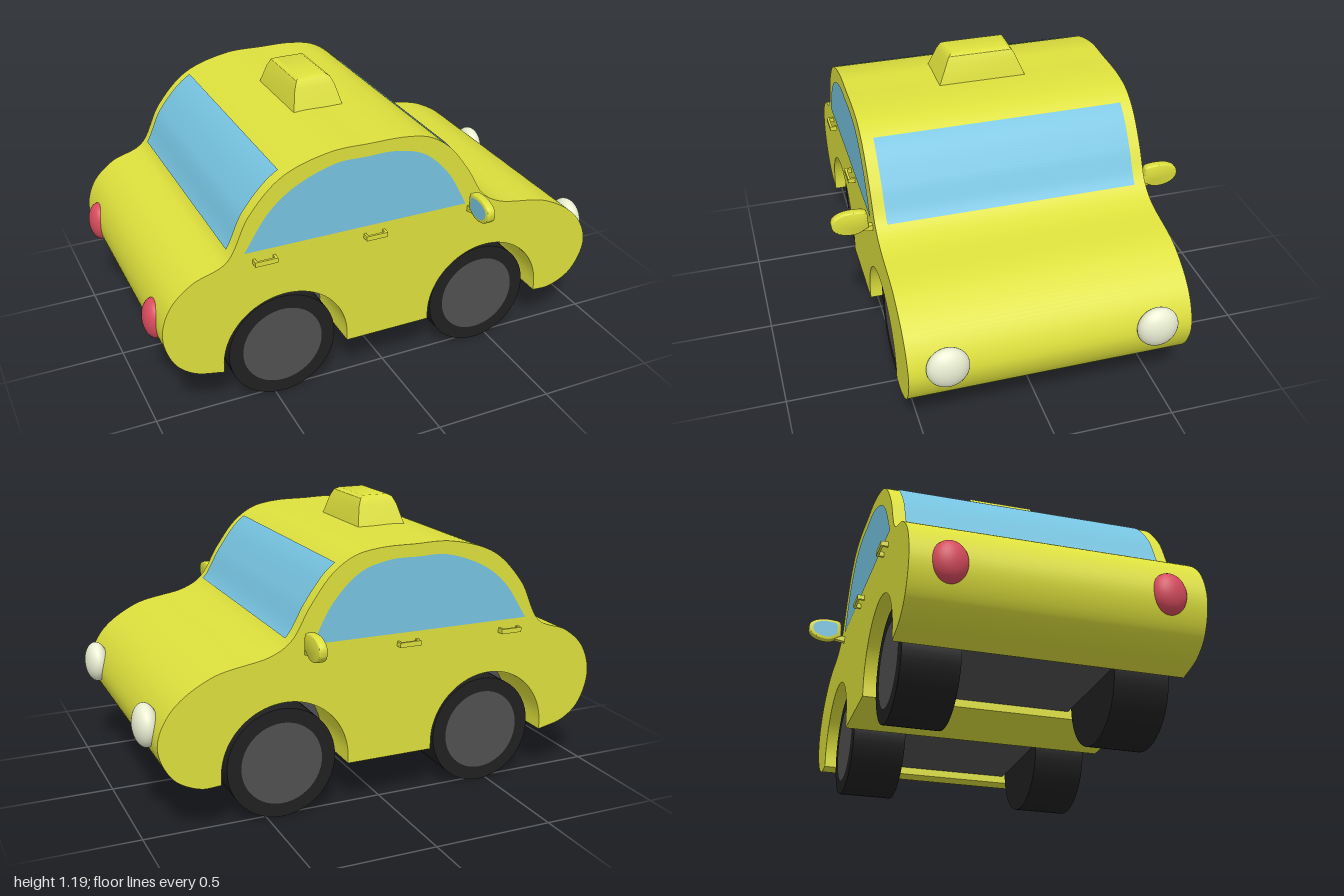
import * as THREE from 'three';
import { toCreasedNormals } from 'three/addons/utils/BufferGeometryUtils.js';

const mat = (color) => new THREE.MeshStandardMaterial({ color });
const paint = mat(0xdde03c);
const glass = mat(0x76c3e0);
glass.side = THREE.DoubleSide;
const rubber = mat(0x202020);
const darkGrey = mat(0x505050);
const lampWhite = mat(0xeaeed2);
const lampRed = mat(0xd84c5e);

const HALF = 0.57; // half width of the body
const AXLE_Y = 0.233;
const AXLES = [-0.465, 0.437];
const ARCH_R = 0.265;

function smooth(points, n) {
  const curve = new THREE.CatmullRomCurve3(points.map(([x, y]) => new THREE.Vector3(x, y, 0)));
  return curve.getPoints(n).map((p) => new THREE.Vector2(p.x, p.y));
}

// Outline from the rear bumper over the roof to the front bumper
const outline = smooth([
  [-0.73, 0.203], [-0.85, 0.235], [-0.925, 0.3], [-0.965, 0.43], [-0.93, 0.55], [-0.84, 0.635],
  [-0.7, 0.695], [-0.605, 0.87], [-0.47, 1.005], [-0.275, 1.067], [-0.11, 1.07], [0.045, 1.067],
  [0.15, 1.045], [0.24, 0.985], [0.33, 0.87], [0.41, 0.74], [0.49, 0.69], [0.73, 0.636],
  [0.89, 0.525], [0.945, 0.39], [0.89, 0.257], [0.785, 0.2], [0.702, 0.2],
], 260);

function add(parent, name, geometry, material, x = 0, y = 0, z = 0) {
  const mesh = new THREE.Mesh(geometry, material);
  mesh.name = name;
  mesh.position.set(x, y, z);
  parent.add(mesh);
  return mesh;
}

function bodyGeometry() {
  const shape = new THREE.Shape(outline);
  // Wheel arches, front one first, cut along the underside
  for (const x of [AXLES[1], AXLES[0]]) {
    shape.lineTo(x + ARCH_R, AXLE_Y);
    shape.absarc(x, AXLE_Y, ARCH_R, 0, Math.PI, false);
    if (x > 0) {
      shape.lineTo(x - ARCH_R, 0.2);
      shape.lineTo(AXLES[0] + ARCH_R, 0.2);
    }
  }
  const geo = new THREE.ExtrudeGeometry(shape, { depth: HALF * 2, bevelEnabled: false, curveSegments: 24 });
  geo.translate(0, 0, -HALF);
  return toCreasedNormals(geo, 0.5);
}

// Pane that follows the outline between two heights
function paneGeometry(isFront, low, high) {
  const pos = [];
  const index = [];
  outline.forEach((p, i) => {
    if (p.x > 0 !== isFront || p.y < low || p.y > high) return;
    const a = outline[i - 1], b = outline[i + 1];
    const n = new THREE.Vector2(a.y - b.y, b.x - a.x).normalize().multiplyScalar(0.004);
    const k = pos.length / 3;
    pos.push(p.x + n.x, p.y + n.y, 0.522, p.x + n.x, p.y + n.y, -0.522);
    if (k) index.push(k - 2, k, k - 1, k, k + 1, k - 1);
  });
  const geo = new THREE.BufferGeometry();
  geo.setAttribute('position', new THREE.Float32BufferAttribute(pos, 3));
  geo.setIndex(index);
  geo.computeVertexNormals();
  return geo;
}

// Tapered roof sign built from stacked rectangles
function signGeometry() {
  const pos = [];
  const index = [];
  const rings = [[1.06, 0.109, 0.19], [1.15, 0.087, 0.152], [1.18, 0.073, 0.137], [1.19, 0.056, 0.12]];
  rings.forEach(([y, hx, hz], r) => {
    pos.push(-hx, y, hz, hx, y, hz, hx, y, -hz, -hx, y, -hz);
    for (let i = 0; r > 0 && i < 4; i++) {
      const a = (r - 1) * 4 + i, b = (r - 1) * 4 + ((i + 1) % 4);
      index.push(a, b, b + 4, a, b + 4, a + 4);
    }
  });
  index.push(12, 13, 14, 12, 14, 15);
  const geo = new THREE.BufferGeometry();
  geo.setAttribute('position', new THREE.Float32BufferAttribute(pos, 3));
  geo.setIndex(index);
  return toCreasedNormals(geo, 0.6);
}

// Door mirror: head and stem drawn in the (z, y) plane, thin along x
function addMirror(parent, side) {
  const group = new THREE.Group();
  group.name = side > 0 ? 'leftMirror' : 'rightMirror';
  const head = smooth([
    [0.592, 0.705], [0.64, 0.682], [0.7, 0.69], [0.728, 0.715], [0.727, 0.75],
    [0.69, 0.772], [0.635, 0.776], [0.597, 0.768], [0.592, 0.74],
  ], 40);
  const headGeo = new THREE.ExtrudeGeometry(new THREE.Shape(head), {
    depth: 0.024, bevelEnabled: true, bevelThickness: 0.005, bevelSize: 0.004, bevelSegments: 2,
  });
  const backGlass = new THREE.ShapeGeometry(new THREE.Shape(
    head.map((p) => new THREE.Vector2(0.66 + (p.x - 0.66) * 0.8, 0.73 + (p.y - 0.73) * 0.8))));
  for (const [name, geo, material, x] of [
    ['mirrorHousing', toCreasedNormals(headGeo, 0.8), paint, 0.36],
    ['mirrorGlass', backGlass, glass, 0.329],
  ]) {
    // Turn the drawn x axis to the side of the car
    geo.rotateY(-Math.PI / 2);
    if (side < 0) geo.rotateY(Math.PI).translate(-0.024 * (name === 'mirrorHousing'), 0, 0);
    add(group, name, geo, material, x);
  }
  const stem = add(group, 'mirrorStem', new THREE.BoxGeometry(0.022, 0.024, 0.07), paint, 0.346, 0.694, side * 0.59);
  stem.rotation.x = -side * 0.15;
  parent.add(group);
}

function addHandle(parent, x, side) {
  const group = new THREE.Group();
  group.name = 'doorHandle';
  add(group, 'handleBar', new THREE.BoxGeometry(0.092, 0.02, 0.01), paint, 0, 0, 0.025);
  for (const s of [-1, 1]) {
    add(group, 'handleLeg', new THREE.BoxGeometry(0.01, 0.02, 0.03), paint, s * 0.041, 0, 0.01);
  }
  group.position.set(x, 0.674, side * HALF);
  if (side < 0) group.rotation.y = Math.PI;
  parent.add(group);
}

function addWheel(parent, x, side) {
  const group = new THREE.Group();
  group.name = 'wheel';
  const tyre = add(group, 'tyre', new THREE.CylinderGeometry(0.228, 0.228, 0.225, 48), rubber);
  tyre.rotation.x = Math.PI / 2;
  add(group, 'hubcap', new THREE.CircleGeometry(0.17, 48), darkGrey, 0, 0, 0.115);
  group.position.set(x, 0.228, side * 0.4125);
  if (side < 0) group.rotation.y = Math.PI;
  parent.add(group);
}

export function createModel() {
  const car = new THREE.Group();
  car.name = 'car';
  add(car, 'body', bodyGeometry(), paint);
  add(car, 'windscreen', paneGeometry(true, 0.733, 1.015), glass);
  add(car, 'rearWindow', paneGeometry(false, 0.71, 1.015), glass);
  add(car, 'roofSign', signGeometry(), paint, -0.152);

  const sideWindow = new THREE.Shape(smooth([
    [0.325, 0.717], [0.24, 0.87], [0.125, 0.98], [0, 1.017], [-0.125, 1.019], [-0.25, 1.017],
    [-0.42, 0.955], [-0.527, 0.87], [-0.63, 0.717],
  ], 60));
  for (const side of [-1, 1]) {
    add(car, 'sideWindow', new THREE.ShapeGeometry(sideWindow), glass, 0, 0, side * (HALF + 0.003));
    addMirror(car, side);
    for (const x of [-0.55, -0.085]) addHandle(car, x, side);
    for (const x of AXLES) addWheel(car, x, side);
    // Lamps
    const lamp = new THREE.SphereGeometry(1, 32, 20);
    add(car, 'headlight', lamp, lampWhite, 0.95, 0.433, side * 0.42).scale.set(0.05, 0.087, 0.084);
    add(car, 'tailLight', lamp, lampRed, -0.95, 0.43, side * 0.42).scale.set(0.05, 0.085, 0.07);
  }

  // Solid half-round fillings of the arches between the wheels
  for (const x of AXLES) {
    const half = new THREE.Shape();
    half.absarc(0, 0, ARCH_R - 0.001, 0, Math.PI, false);
    const geo = new THREE.ExtrudeGeometry(half, { depth: 0.6, bevelEnabled: false, curveSegments: 24 });
    add(car, 'archFilling', toCreasedNormals(geo, 0.5), darkGrey, x, AXLE_Y, -0.3);
  }
  return car;
}
